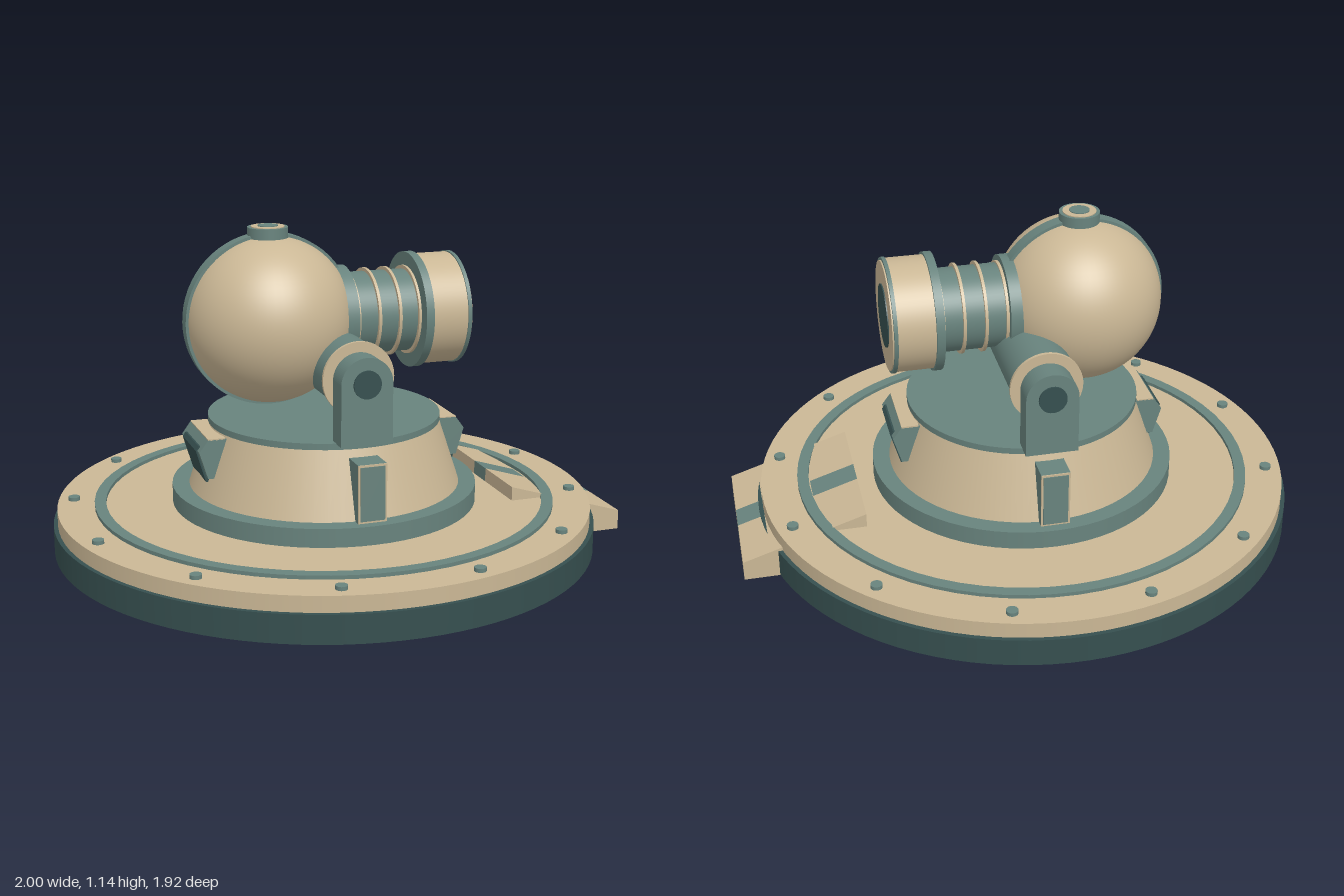
import * as THREE from 'three';

const mat = (name, color) => {
  const m = new THREE.MeshStandardMaterial({ color });
  m.name = name;
  return m;
};

export function createModel() {
  const tan = mat('tan', 0xcab795);
  const teal = mat('teal', 0x68837d);
  const dark = mat('darkTeal', 0x364f4f);
  const root = new THREE.Group();
  root.name = 'turret';

  const group = (name, parent, x = 0, y = 0, z = 0) => {
    const g = new THREE.Group();
    g.name = name;
    g.position.set(x, y, z);
    parent.add(g);
    return g;
  };
  const add = (parent, name, geo, m, x = 0, y = 0, z = 0) => {
    const mesh = new THREE.Mesh(geo, m);
    mesh.name = name;
    mesh.position.set(x, y, z);
    parent.add(mesh);
    return mesh;
  };
  // Cylinder spanning a to b along one axis
  const cyl = (parent, name, m, axis, a, b, r0, r1 = r0, x = 0, y = 0, z = 0, seg = 64) => {
    const geo = new THREE.CylinderGeometry(r1, r0, b - a, seg);
    geo.translate(0, (a + b) / 2, 0);
    if (axis === 'x') geo.rotateZ(-Math.PI / 2);
    if (axis === 'z') geo.rotateX(Math.PI / 2);
    return add(parent, name, geo, m, x, y, z);
  };
  // Side profile in x/y, extruded from z0 to z1
  const prism = (parent, name, m, pts, z0, z1) => {
    const shape = new THREE.Shape(pts.map(p => new THREE.Vector2(...p)));
    const geo = new THREE.ExtrudeGeometry(shape, { depth: z1 - z0, bevelEnabled: false });
    return add(parent, name, geo.translate(0, 0, z0), m);
  };
  // Flat ring with a square section, standing on y
  const ring = (parent, name, m, inner, outer, y0, y1) => {
    const pts = [[inner, y0], [outer, y0], [outer, y1], [inner, y1], [inner, y0]];
    const geo = new THREE.LatheGeometry(pts.map(p => new THREE.Vector2(...p)), 64).toNonIndexed();
    geo.computeVertexNormals();
    return add(parent, name, geo, m);
  };

  // Round base plate
  const base = group('base', root, -0.04);
  cyl(base, 'baseDisc', dark, 'y', 0.002, 0.1, 0.96, 0.96, 0, 0, 0, 96);
  cyl(base, 'deckDisc', tan, 'y', 0.1, 0.155, 0.945, 0.945, 0, 0, 0, 96);
  ring(base, 'deckRing', teal, 0.775, 0.815, 0.15, 0.168);
  for (let i = 0; i < 12; i++) {
    const a = (i + 0.5) * Math.PI / 6;
    cyl(base, 'bolt', teal, 'y', 0.15, 0.168, 0.02, 0.02, 0.89 * Math.cos(a), 0, 0.89 * Math.sin(a), 16);
  }

  // Conical pedestal
  cyl(base, 'collar', teal, 'y', 0.155, 0.22, 0.54);
  cyl(base, 'pedestal', tan, 'y', 0.22, 0.45, 0.48, 0.405);
  cyl(base, 'pedestalRim', teal, 'y', 0.448, 0.47, 0.41);

  // Buttresses front and back, hooded windows left and right
  for (const s of [1, -1]) {
    const b = group('buttress', base);
    add(b, 'buttressBody', new THREE.BoxGeometry(0.1, 0.2, 0.1), teal, 0, 0.32, 0.452);
    add(b, 'buttressEdge', new THREE.BoxGeometry(0.1, 0.2, 0.004), tan, 0, 0.32, 0.504);
    add(b, 'buttressPanel', new THREE.BoxGeometry(0.086, 0.186, 0.004), teal, 0, 0.32, 0.507);
    const w = group('hoodedWindow', base);
    prism(w, 'hood', teal, [[0.38, 0.3], [0.457, 0.3], [0.486, 0.395], [0.455, 0.437], [0.38, 0.437]], -0.125, 0.125);
    add(w, 'hoodTrim', new THREE.BoxGeometry(0.06, 0.005, 0.25), tan, 0.425, 0.438, 0);
    prism(w, 'windowPane', dark, [[0.4, 0.28], [0.457, 0.28], [0.491, 0.395], [0.481, 0.41], [0.4, 0.41]], -0.095, 0.095);
    if (s < 0) b.rotation.y = w.rotation.y = Math.PI;
  }

  // Entry ramp, with a teal runner down the middle
  const ramp = group('ramp', root);
  const wedge = [[0.57, 0], [1, 0], [1, 0.07], [0.57, 0.205]];
  prism(ramp, 'rampSide', tan, wedge, 0.05, 0.28);
  prism(ramp, 'rampSide', tan, wedge, -0.28, -0.05);
  prism(ramp, 'rampRunner', teal, wedge, -0.05, 0.05);

  // Fork arms and trunnion
  const fork = group('fork', root, -0.04);
  cyl(fork, 'trunnion', teal, 'z', -0.355, 0.355, 0.114, 0.114, 0, 0.675, 0);
  const armShape = new THREE.Shape();
  armShape.moveTo(-0.09, 0.468);
  armShape.lineTo(0.09, 0.468);
  armShape.lineTo(0.09, 0.675);
  armShape.absarc(0, 0.675, 0.09, 0, Math.PI, false);
  armShape.closePath();
  const armGeo = new THREE.ExtrudeGeometry(armShape, { depth: 0.083, bevelEnabled: false, curveSegments: 24 });
  armGeo.translate(0, 0, 0.366);
  for (const s of [1, -1]) {
    const arm = group('forkArm', fork);
    add(arm, 'armPlate', armGeo, teal);
    cyl(arm, 'trunnionFlange', tan, 'z', 0.354, 0.366, 0.125, 0.125, 0, 0.675, 0);
    cyl(arm, 'pivotCap', dark, 'z', 0.44, 0.455, 0.048, 0.048, 0, 0.675, 0, 32);
    if (s < 0) arm.rotation.y = Math.PI;
  }

  // Spherical head with a band and top cap
  const head = group('head', root, -0.24, 0.818);
  add(head, 'sphere', new THREE.SphereGeometry(0.29, 64, 40), tan);
  cyl(head, 'headBand', teal, 'z', -0.025, 0.025, 0.299);
  cyl(head, 'topCap', teal, 'y', 0.27, 0.318, 0.07, 0.07, 0, 0, 0, 32);
  cyl(head, 'topCapRing', tan, 'y', 0.316, 0.321, 0.058, 0.058, 0, 0, 0, 32);
  cyl(head, 'topCapCentre', teal, 'y', 0.318, 0.324, 0.035, 0.035, 0, 0, 0, 32);

  // Barrel: name, material, start x, end x, radius
  const barrel = group('barrel', root, 0, 0.815);
  const parts = [
    ['barrelCollar', teal, -0.02, 0.035, 0.172],
    ['barrelTube', teal, 0.03, 0.27, 0.145],
    ['barrelBand', tan, 0.036, 0.046, 0.152],
    ['barrelBand', tan, 0.11, 0.12, 0.157],
    ['barrelBand', tan, 0.185, 0.195, 0.157],
    ['barrelBand', tan, 0.257, 0.266, 0.157],
    ['muzzleFlange', teal, 0.266, 0.295, 0.205],
    ['muzzle', tan, 0.295, 0.424, 0.196],
    ['muzzleRim', teal, 0.424, 0.437, 0.2],
    ['muzzleFace', tan, 0.436, 0.442, 0.19],
    ['lens', dark, 0.44, 0.446, 0.11],
  ];
  for (const [name, m, a, b, r] of parts) cyl(barrel, name, m, 'x', a, b, r);

  return root;
}
